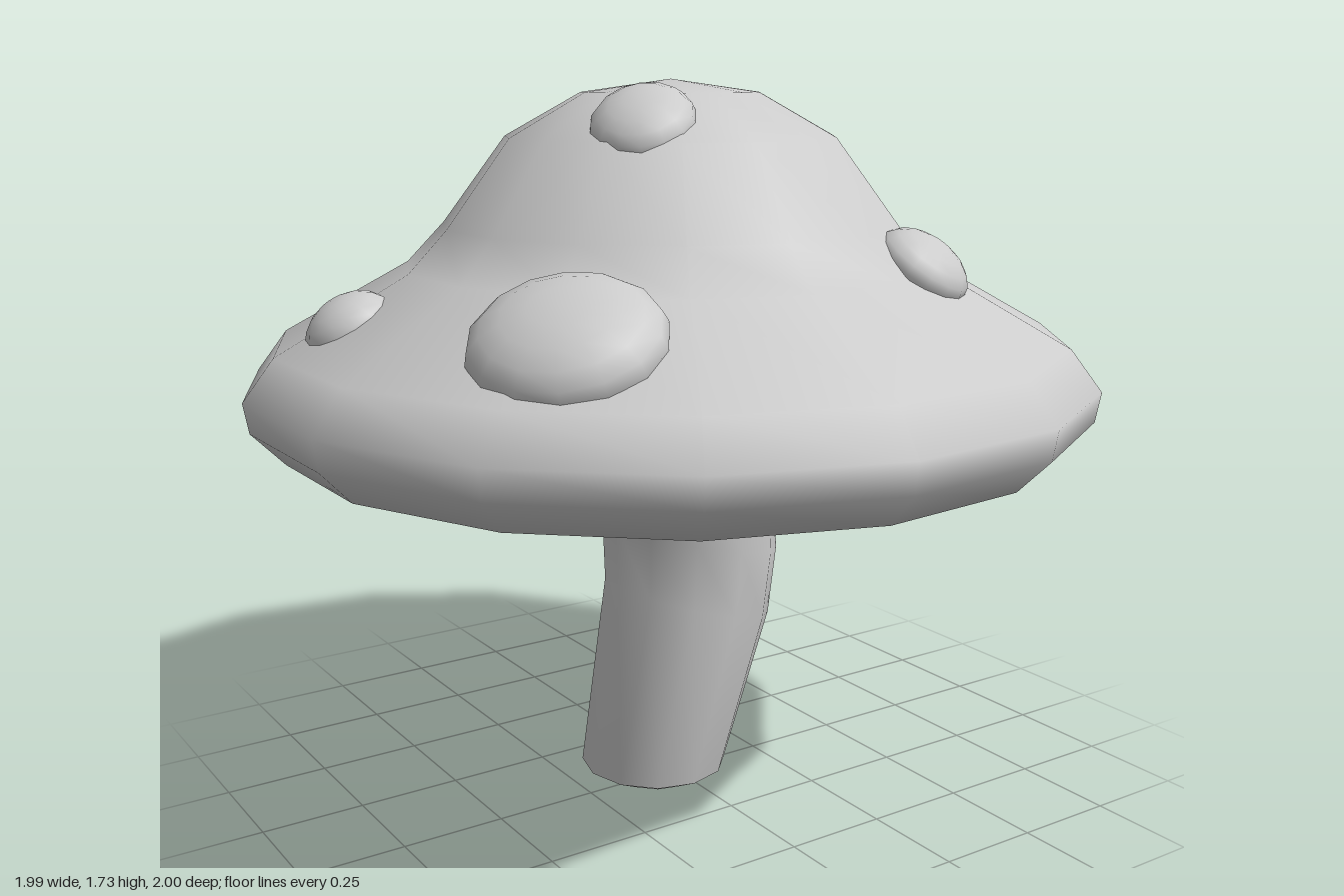
import * as THREE from 'three';
import { mergeVertices } from 'three/addons/utils/BufferGeometryUtils.js';

const material = new THREE.MeshStandardMaterial({ color: 0xcccccc });

// Lathe with a vertex on +x, welded so the shading runs smoothly across the seam
function turned(profile, sides, bend) {
  const points = profile.map(([r, y]) => new THREE.Vector2(r, y));
  const lathe = new THREE.LatheGeometry(points, sides, Math.PI / 2);
  const pos = lathe.attributes.position;
  if (bend) {
    for (let i = 0; i < pos.count; i++) {
      const [cx, tilt] = bend[i % profile.length];
      const x = pos.getX(i);
      pos.setXY(i, x + cx, pos.getY(i) + x * tilt);
    }
  }
  lathe.deleteAttribute('uv');
  lathe.deleteAttribute('normal');
  const welded = mergeVertices(lathe, 1e-4);
  welded.computeVertexNormals();
  return welded;
}

function addMesh(parent, name, geometry) {
  const mesh = new THREE.Mesh(geometry, material);
  mesh.name = name;
  parent.add(mesh);
  return mesh;
}

export function createModel() {
  const model = new THREE.Group();
  model.name = 'mushroom';

  // Cap: flat ceiling and sloping inner wall, rounded rim, then the bell-shaped top
  const cap = addMesh(model, 'cap', turned([
    [0.22, 1.26], [0.4, 1.25], [0.57, 1.235], [0.86, 0.93], [0.92, 0.893],
    [0.995, 0.97], [1.007, 1.04], [0.935, 1.135], [0.63, 1.305],
    [0.54, 1.4], [0.39, 1.6], [0.21, 1.7], [0, 1.73],
  ], 15));
  cap.position.x = -0.011;

  // Stem: rings of [radius, height], each with [sideways shift, tilt]
  const stem = addMesh(model, 'stem', turned(
    [[0, 0], [0.1, 0.008], [0.178, 0.05], [0.203, 0.465], [0.215, 0.63], [0.222, 0.95], [0.235, 1.1], [0.265, 1.2], [0.34, 1.255]],
    12,
    [[-0.06, 0], [-0.06, 0], [-0.065, 0], [0.037, -0.27], [0.045, -0.24], [0.018, 0], [0.01, 0], [0, 0], [0, 0]],
  ));
  stem.scale.z = 1.04;

  // Spots: [x, y, z, half width around the cap, half length down the slope, height, tilt]
  const spots = new THREE.Group();
  spots.name = 'spots';
  model.add(spots);
  const dome = new THREE.SphereGeometry(1, 14, 10);
  [
    [-0.57, 1.23, 0.48, 0.207, 0.192, 0.1, 0.53],
    [0.07, 1.315, -0.605, 0.16, 0.138, 0.1, 0.7],
    [0.78, 1.185, -0.195, 0.135, 0.14, 0.09, 0.53],
    [-0.77, 1.195, -0.13, 0.102, 0.105, 0.075, 0.55],
    [-0.215, 1.635, 0.2, 0.118, 0.128, 0.07, 0.55],
    [0.33, 1.32, 0.5, 0.128, 0.115, 0.07, 0.62],
  ].forEach(([x, y, z, width, length, height, tilt]) => {
    const spot = addMesh(spots, 'spot', dome);
    spot.position.set(x, y, z);
    spot.rotation.set(tilt, Math.atan2(x, z), 0, 'YXZ');
    spot.scale.set(width, height, length);
  });

  return model;
}
